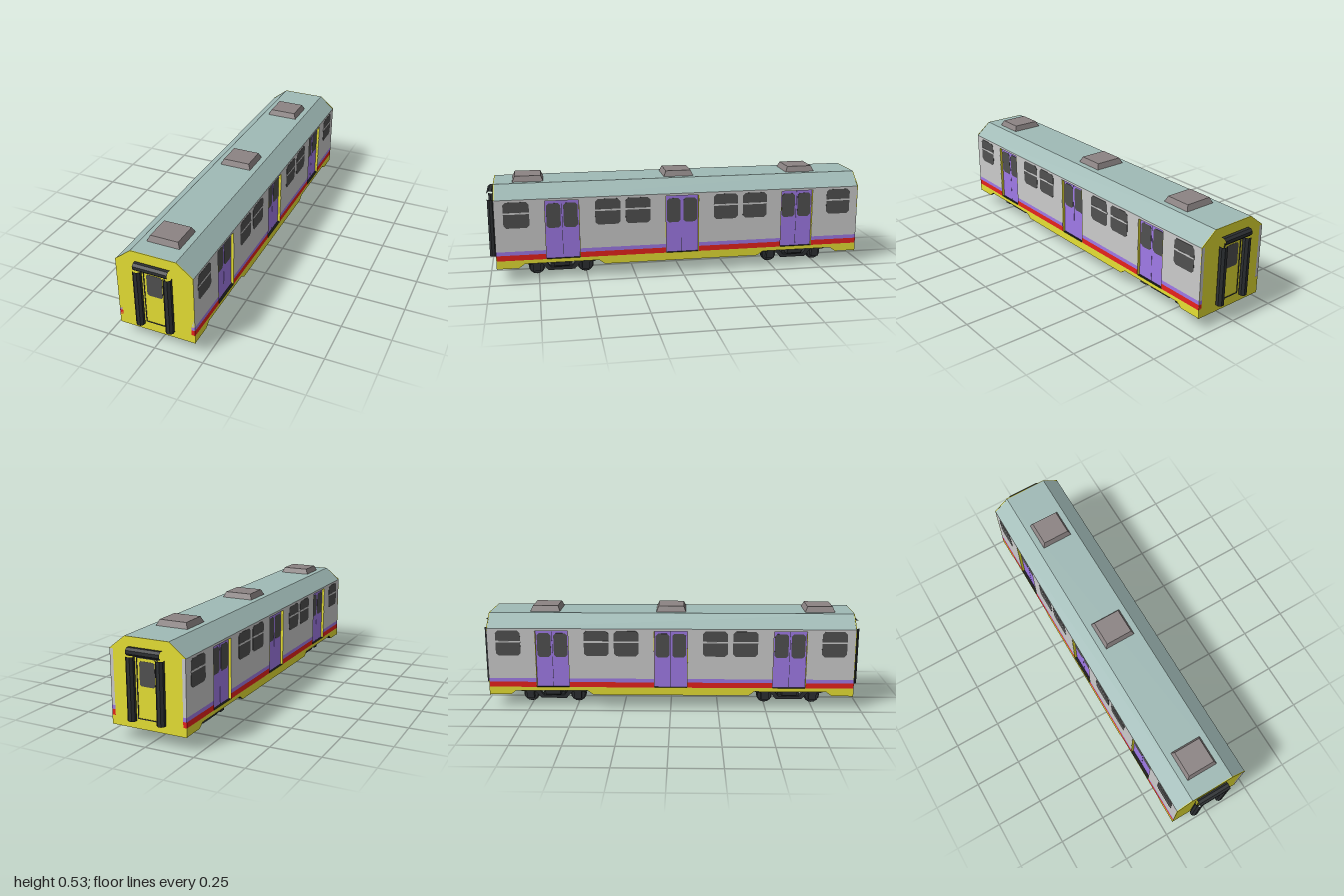
import * as THREE from 'three';

const paint = (color) => new THREE.MeshStandardMaterial({ color, flatShading: true });
const silver = paint(0xcccccc), yellow = paint(0xe6e034), purple = paint(0xa07ae8), red = paint(0xe8221c);
const teal = paint(0xa0bab6), ventGrey = paint(0x8c8484), glass = paint(0x505050), dark = paint(0x2c2f32);
const black = paint(0x151515);

const HALF = 0.197, END = 0.963, RECESS = 0.015;

function add(parent, name, geometry, material, x = 0, y = 0, z = 0) {
  const mesh = new THREE.Mesh(geometry, material);
  mesh.name = name;
  mesh.position.set(x, y, z);
  parent.add(mesh);
  return mesh;
}

// Box given by its limits on each axis
function box(parent, name, material, [x0, x1], [y0, y1], [z0, z1]) {
  const g = new THREE.BoxGeometry(x1 - x0, y1 - y0, z1 - z0);
  return add(parent, name, g, material, (x0 + x1) / 2, (y0 + y1) / 2, (z0 + z1) / 2);
}

const outline = (points) => new THREE.Shape(points.map(([a, b]) => new THREE.Vector2(a, b)));

// Prism along z from an x-y outline
function prismZ(shape, z0, z1) {
  return new THREE.ExtrudeGeometry(shape, { depth: z1 - z0, bevelEnabled: false }).translate(0, 0, z0);
}

// Prism along x from a z-y outline
function prismX(shape, x0, x1) {
  return new THREE.ExtrudeGeometry(shape, { depth: x1 - x0, bevelEnabled: false })
    .rotateY(-Math.PI / 2).translate(x1, 0, 0);
}

// Rectangle with cut corners
function pane(a0, a1, b0, b1, c) {
  return outline([[a0 + c, b0], [a1 - c, b0], [a1, b0 + c], [a1, b1 - c],
    [a1 - c, b1], [a0 + c, b1], [a0, b1 - c], [a0, b0 + c]]);
}

function createSide() {
  const side = new THREE.Group();
  side.name = 'sideWall';
  const inner = HALF - RECESS;
  const thick = [inner - 0.003, HALF];

  // Wall panels and stripes between the door openings
  const panels = [[0.711, END], [0.089, 0.535], [-0.535, -0.089], [-END, -0.711]];
  for (const z of panels) {
    box(side, 'wallPanel', silver, thick, [0.16, 0.43], z);
    box(side, 'purpleStripe', purple, thick, [0.14, 0.16], z);
    box(side, 'redStripe', red, thick, [0.112, 0.14], z);
  }

  // Windows with a light transom bar
  for (const z of [0.853, 0.39, 0.233, -0.233, -0.39, -0.853]) {
    add(side, 'window', prismX(pane(z - 0.065, z + 0.065, 0.283, 0.418, 0.014), HALF - 0.002, HALF + 0.001), glass);
    box(side, 'windowBar', silver, [HALF - 0.001, HALF + 0.002], [0.355, 0.364], [z - 0.066, z + 0.066]);
  }

  // Recessed double doors with yellow jambs
  for (const z of [0.623, 0, -0.623]) {
    box(side, 'doorHeader', silver, thick, [0.418, 0.43], [z - 0.09, z + 0.09]);
    for (const s of [-1, 1]) {
      const jamb = z + s * 0.0875;
      box(side, 'doorJamb', yellow, [inner - 0.003, HALF - 0.0005], [0.112, 0.418], [jamb - 0.0015, jamb + 0.0015]);
      const c = z + s * 0.0435;
      box(side, 'doorLeaf', purple, [inner - 0.004, inner + 0.001], [0.112, 0.418], [c - 0.0425, c + 0.0425]);
      add(side, 'doorWindow', prismX(pane(c - 0.036, c + 0.036, 0.273, 0.402, 0.012), inner, inner + 0.002), glass);
    }
    box(side, 'doorGap', dark, [inner - 0.003, inner + 0.0003], [0.112, 0.418], [z - 0.001, z + 0.001]);
  }
  return side;
}

function createEnd() {
  const end = new THREE.Group();
  end.name = 'carEnd';

  // Yellow gable
  const gable = outline([[-HALF, 0.067], [HALF, 0.067], [HALF, 0.432], [0.115, 0.497], [-0.115, 0.497], [-HALF, 0.432]]);
  add(end, 'gable', prismZ(gable, END - 0.004, END), yellow);

  // Connecting door: dark surround and window
  const surround = pane(-0.055, 0.055, 0.115, 0.408, 0);
  surround.holes.push(pane(-0.051, 0.051, 0.119, 0.404, 0));
  add(end, 'endDoorFrame', prismZ(surround, END - 0.002, END + 0.003), dark);
  add(end, 'endDoorWindow', prismZ(pane(-0.04, 0.04, 0.273, 0.39, 0.008), END - 0.002, END + 0.001), glass);

  // Gangway buffers: open eight-sided tubes
  const tube = (r, length) => new THREE.CylinderGeometry(r, r, length, 8, 1, true).rotateY(Math.PI / 8);
  for (const s of [-1, 1]) {
    add(end, 'gangwayPost', tube(0.0215, 0.303).scale(1, 1, 0.93), dark, s * 0.077, 0.26, 0.98);
  }
  add(end, 'gangwayTop', tube(0.0205, 0.175).rotateZ(Math.PI / 2), dark, 0, 0.435, 0.981);
  return end;
}

function createBogie() {
  const bogie = new THREE.Group();
  bogie.name = 'bogie';

  // Cranked side frame outline (z, y)
  const frame = outline([[-0.195, 0.09], [-0.195, 0.076], [-0.17, 0.065], [-0.1, 0.065], [-0.068, 0.029],
    [0.068, 0.029], [0.1, 0.065], [0.17, 0.065], [0.195, 0.076], [0.195, 0.09],
    [0.09, 0.09], [0.055, 0.045], [-0.055, 0.045], [-0.09, 0.09]]);

  for (const s of [-1, 1]) {
    const x = s * 0.116;
    add(bogie, 'sideFrame', prismX(frame, x - 0.013, x + 0.013), dark);

    // Wheels with flange and axle box
    for (const z of [-0.128, 0.128]) {
      const disc = (r, w) => new THREE.CylinderGeometry(r, r, w, 16).rotateZ(Math.PI / 2);
      add(bogie, 'wheel', disc(0.037, 0.025), dark, s * 0.0875, 0.043, z);
      add(bogie, 'wheelFlange', disc(0.043, 0.01), dark, s * 0.08, 0.043, z);
      box(bogie, 'axleBox', dark, [x - 0.014, x + 0.014], [0.027, 0.07], [z - 0.02, z + 0.02]);
    }
    // Suspension spring under the bolster end
    add(bogie, 'spring', new THREE.CylinderGeometry(0.016, 0.016, 0.02, 8), dark, x, 0.055, 0);
  }

  for (const z of [-0.128, 0.128]) {
    add(bogie, 'axle', new THREE.CylinderGeometry(0.014, 0.014, 0.16, 8).rotateZ(Math.PI / 2), dark, 0, 0.043, z);
  }
  for (const z of [-0.045, 0.045]) box(bogie, 'crossBeam', dark, [-0.11, 0.11], [0.03, 0.06], [z - 0.012, z + 0.012]);

  // Bolster with tapered ends
  const bolster = outline([[-0.147, 0.052], [0.147, 0.052], [0.157, 0.06], [0.157, 0.078],
    [0.1, 0.09], [-0.1, 0.09], [-0.157, 0.078], [-0.157, 0.06]]);
  add(bogie, 'bolster', prismZ(bolster, -0.04, 0.04), dark);
  return bogie;
}

export function createModel() {
  const car = new THREE.Group();
  car.name = 'railCar';

  // Inner core behind the walls
  box(car, 'bodyCore', yellow, [-HALF + RECESS, HALF - RECESS], [0.1, 0.44], [-END + 0.002, END - 0.002]);

  // Skirt with notches above the bogies, dark underneath
  const L = END - 0.002;
  const skirt = outline([[-L, 0.07], [-0.85, 0.07], [-0.82, 0.092], [-0.44, 0.092], [-0.41, 0.07],
    [0.41, 0.07], [0.44, 0.092], [0.82, 0.092], [0.85, 0.07], [L, 0.07], [L, 0.112], [-L, 0.112]]);
  add(car, 'skirt', prismX(skirt, -HALF, HALF), [yellow, black]);

  // Roof with sloped shoulders
  const roof = outline([[-HALF, 0.43], [HALF, 0.43], [0.115, 0.497], [-0.115, 0.497]]);
  add(car, 'roof', prismZ(roof, -END + 0.002, END - 0.002), teal);

  // Roof vents
  for (const z of [0.788, 0, -0.67]) {
    const vent = new THREE.CylinderGeometry(0.071 * Math.SQRT2, 0.084 * Math.SQRT2, 0.029, 4).rotateY(Math.PI / 4);
    add(car, 'roofVent', vent.scale(1, 1, 0.94), ventGrey, 0, 0.511, z);
  }

  // Both sides and both ends by half turns
  for (const turn of [0, Math.PI]) {
    const side = createSide(), end = createEnd();
    side.rotation.y = end.rotation.y = turn;
    car.add(side, end);
  }

  for (const z of [0.632, -0.632]) {
    const bogie = createBogie();
    bogie.position.z = z;
    car.add(bogie);
  }
  return car;
}
